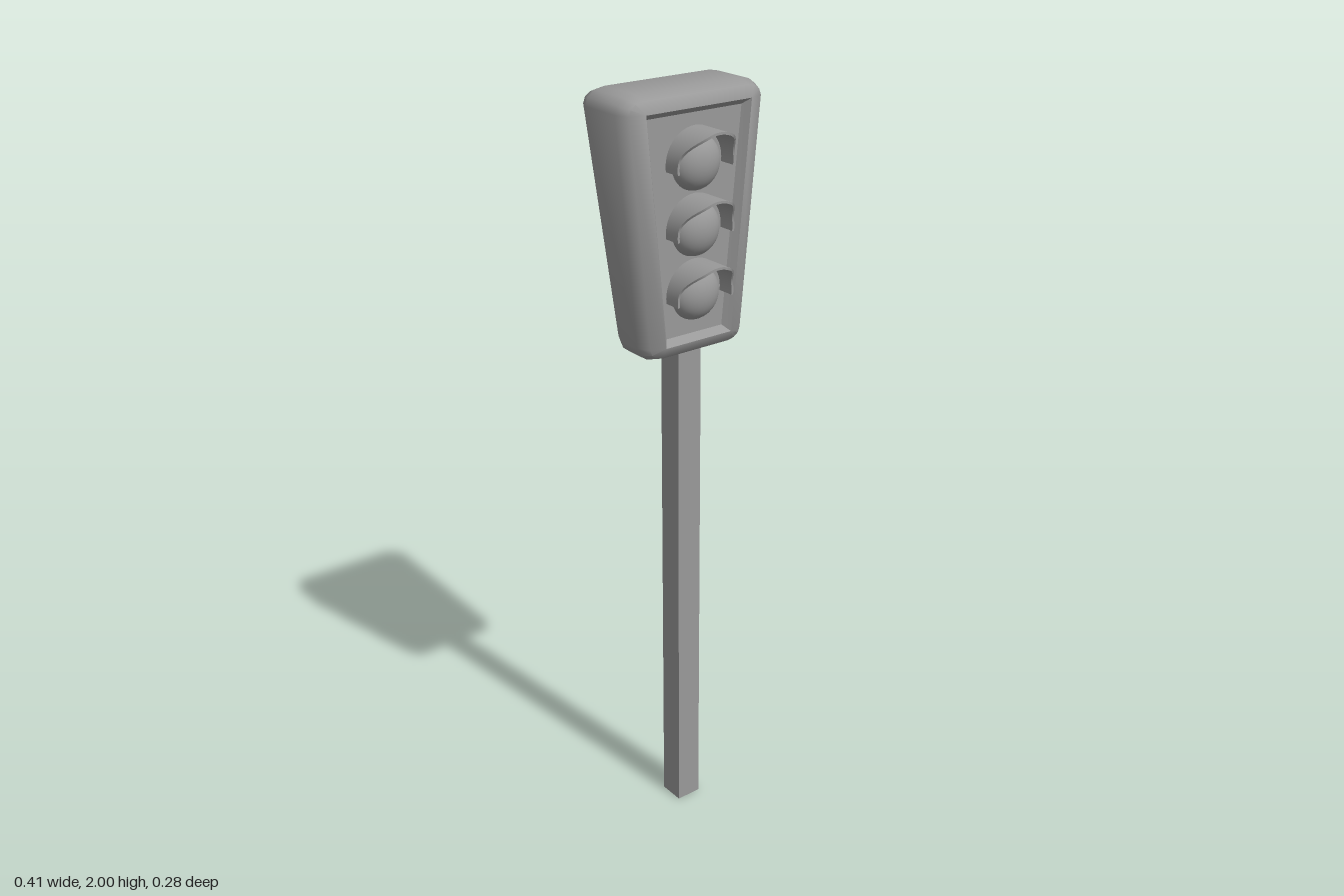
import * as THREE from 'three';
import { toCreasedNormals } from 'three/addons/utils/BufferGeometryUtils.js';

const material = new THREE.MeshStandardMaterial({ color: 0x999999 });
const V = (x, y, z) => new THREE.Vector3(x, y, z);

// Skin a list of closed rings (equal point counts), keeping sharp edges
function loft(rings, crease) {
  const pos = [];
  const n = rings[0].length;
  for (let i = 0; i < rings.length - 1; i++) {
    for (let j = 0; j < n; j++) {
      const k = (j + 1) % n;
      const a = rings[i][j], b = rings[i][k], c = rings[i + 1][k], d = rings[i + 1][j];
      for (const t of [[a, b, c], [a, c, d]]) {
        // skip triangles that collapse to a line
        if (new THREE.Triangle(...t).getArea() < 1e-9) continue;
        for (const p of t) pos.push(p.x, p.y, p.z);
      }
    }
  }
  const geo = new THREE.BufferGeometry();
  geo.setAttribute('position', new THREE.Float32BufferAttribute(pos, 3));
  return toCreasedNormals(geo, crease);
}

// Ring collapsed to its centre, used to close an end
function collapse(ring) {
  const c = ring.reduce((s, p) => s.add(p), V(0, 0, 0)).divideScalar(ring.length);
  return ring.map(() => c);
}

function part(name, geometry) {
  const mesh = new THREE.Mesh(geometry, material);
  mesh.name = name;
  return mesh;
}

// Tapered, rounded housing with a shallow recessed front panel
function housingGeometry() {
  const front = 0.065, depthR = 0.045, floor = 0.045;
  const backZ = y => -0.09 - 0.053 * (y - 1.36) / 0.64;
  // corner centres, counter-clockwise from the top right
  const corners = [[0.153, 1.96], [-0.153, 1.96], [-0.1, 1.395], [0.1, 1.395]];
  const ring = (grow, zOf, inset = 0) => corners.flatMap(([x, y], i) =>
    [0, 1, 2, 3].map(s => {
      const a = (i + s / 3) * Math.PI / 2;
      const px = x - Math.sign(x) * inset + 0.054 * grow * Math.cos(a);
      const py = y - Math.sign(y - 1.68) * inset + 0.04 * grow * Math.sin(a);
      return V(px, py, zOf(y));
    }));
  const rings = [];
  const steps = [0, 1, 2].map(s => s * Math.PI / 4);
  for (const a of steps) rings.push(ring(Math.sin(a), y => backZ(y) + depthR * (1 - Math.cos(a))));
  for (const a of [...steps].reverse()) rings.push(ring(Math.sin(a), () => front - depthR * (1 - Math.cos(a))));
  rings.push(ring(0, () => floor, 0.015));
  return loft([collapse(rings[0]), ...rings, collapse(rings.at(-1))], 0.85);
}

// Curved hood: long at the top, sweeping back to short sides
function hoodGeometry() {
  const inner = 0.079, outer = 0.085, back = 0.04, n = 24;
  const rings = [];
  for (let i = 0; i <= n; i++) {
    const deg = -98 + 196 * i / n;
    const a = THREE.MathUtils.degToRad(deg);
    const tip = 0.138 - 0.048 * THREE.MathUtils.smoothstep(Math.abs(deg), 20, 80);
    rings.push([[inner, back], [outer, back], [outer, tip], [inner, tip]]
      .map(([r, z]) => V(r * Math.sin(a), r * Math.cos(a), z)));
  }
  return loft([collapse(rings[0]), ...rings, collapse(rings.at(-1))], 0.7);
}

export function createModel() {
  const group = new THREE.Group();
  group.name = 'trafficLight';

  // Square pole
  const pole = part('pole', new THREE.BoxGeometry(0.07, 1.38, 0.07));
  pole.position.set(0, 0.69, -0.008);
  group.add(pole, part('housing', housingGeometry()));

  // Three lamps, each a domed lens under a hood
  const lensGeo = new THREE.SphereGeometry(0.068, 28, 18);
  const hoodGeo = hoodGeometry();
  ['top', 'middle', 'bottom'].forEach((label, i) => {
    const lamp = new THREE.Group();
    lamp.name = label + 'Lamp';
    lamp.position.y = 1.83 - 0.159 * i;
    const lens = part('lens', lensGeo);
    lens.scale.z = 0.72;
    lens.position.z = 0.042;
    lamp.add(lens, part('hood', hoodGeo));
    group.add(lamp);
  });
  return group;
}
